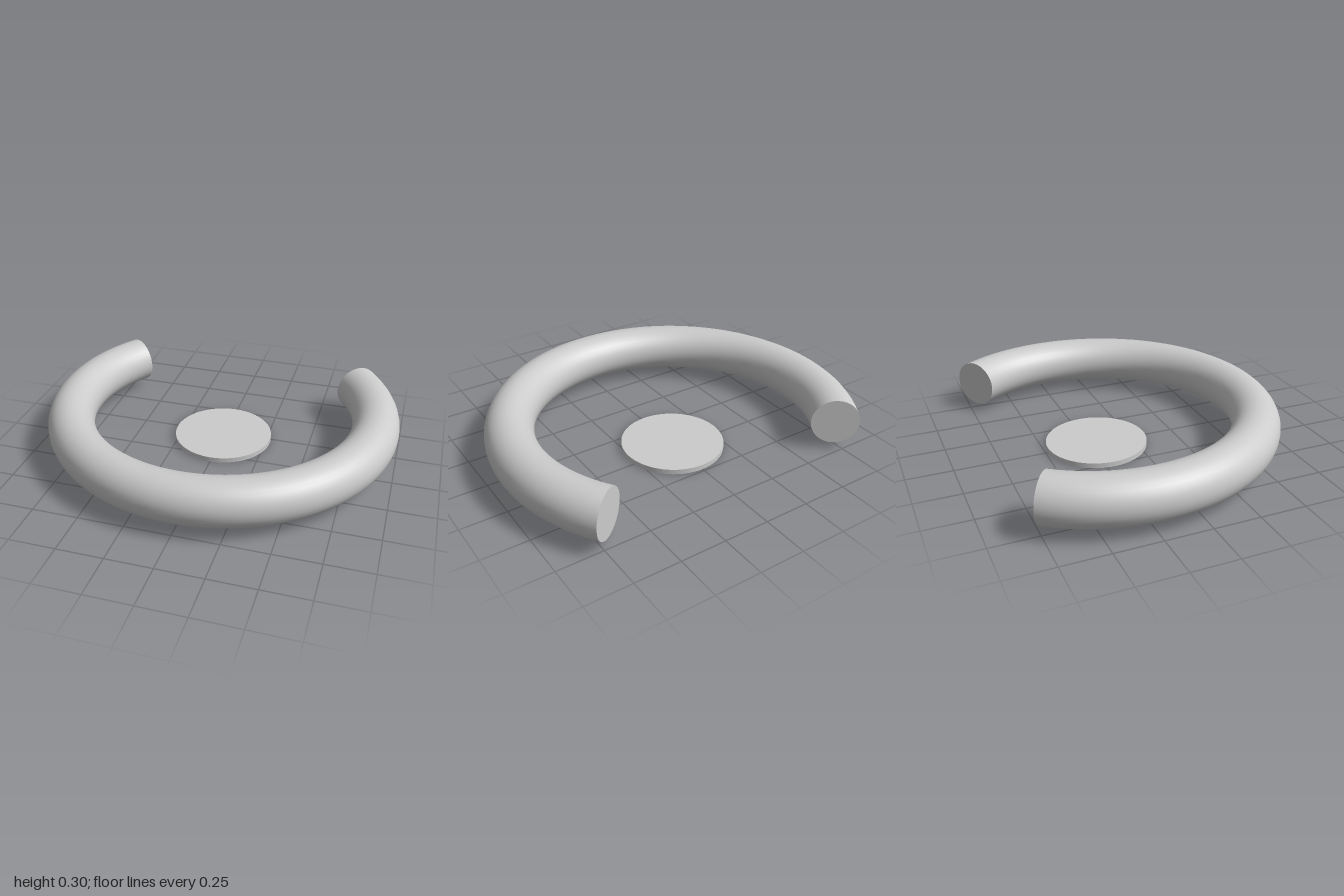
import * as THREE from 'three';

const RING = 0.87, TUBE = 0.13, START = -Math.PI / 5, ARC = Math.PI * 1.4;

export function createModel() {
  const model = new THREE.Group();
  const material = new THREE.MeshStandardMaterial({ color: 0xcccccc });
  const add = (parent, name, geometry) => {
    const mesh = new THREE.Mesh(geometry, material);
    mesh.name = name;
    parent.add(mesh);
    return mesh;
  };

  // Open ring laid flat, with its gap at the back
  const ring = new THREE.Group();
  ring.name = 'openRing';
  add(ring, 'ringTube', new THREE.TorusGeometry(RING, TUBE, 32, 64, ARC));

  // Flat caps closing both ends of the tube
  for (const [name, tilt, angle] of [['leftEndCap', Math.PI / 2, 0], ['rightEndCap', -Math.PI / 2, ARC]]) {
    add(ring, name, new THREE.CircleGeometry(TUBE, 32).rotateX(tilt).translate(RING, 0, 0).rotateZ(angle));
  }
  ring.rotation.set(Math.PI / 2, 0, START);
  ring.position.y = 0.17;
  model.add(ring);

  // Thin disc on the ground at the ring's centre
  add(model, 'baseDisc', new THREE.CylinderGeometry(0.28, 0.28, 0.028, 64)).position.y = 0.014;

  // Centre the whole depth on z = 0
  model.position.z = -0.206;
  const root = new THREE.Group();
  root.add(model);
  return root;
}
